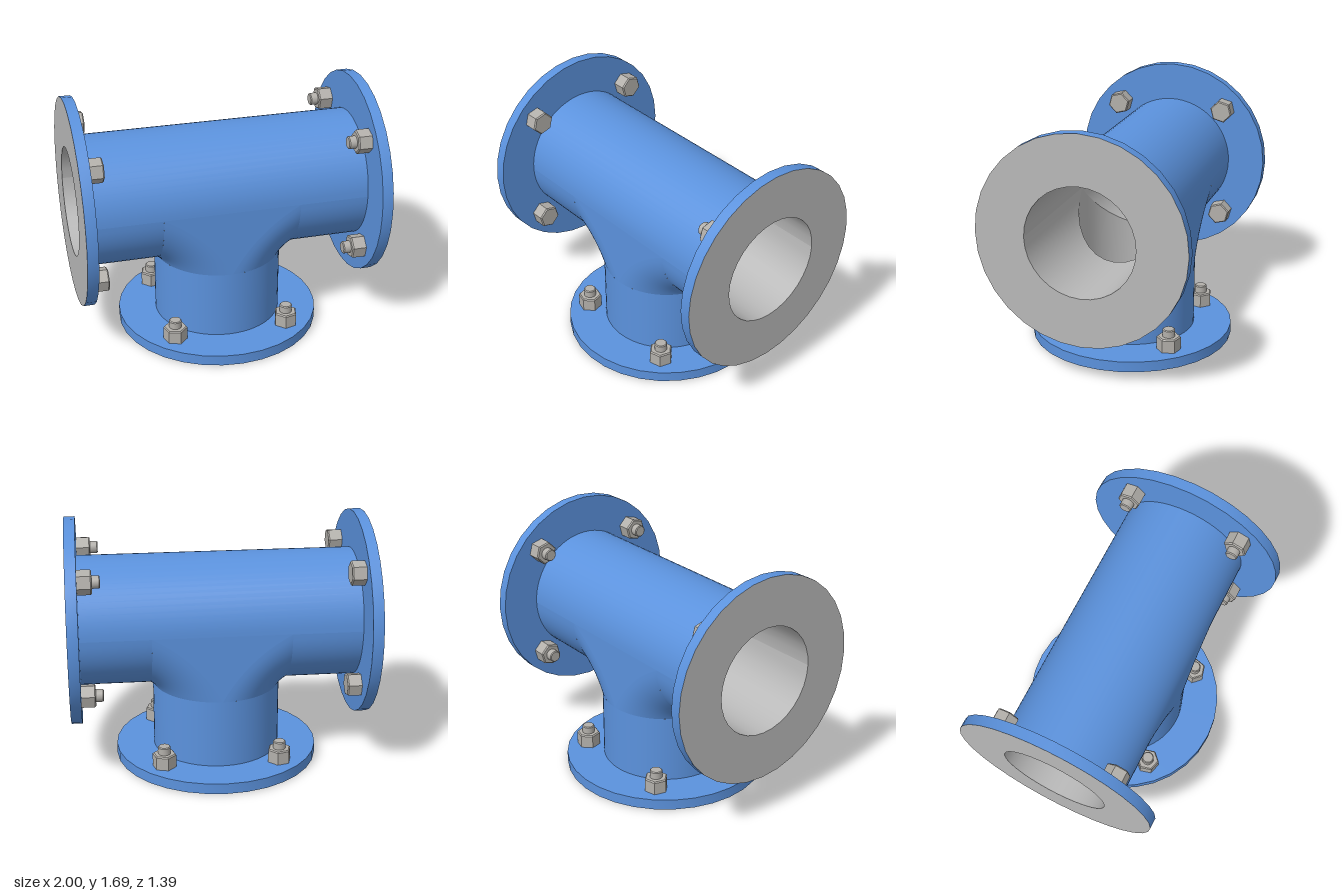
import * as THREE from 'three';
import { toCreasedNormals } from 'three/addons/utils/BufferGeometryUtils.js';

const R = 0.435;       // outer pipe radius
const BORE = 0.365;    // inner pipe radius
const FLANGE = 0.695;  // flange radius
const THICK = 0.073;   // flange thickness
const AXIS = 1.0;      // height of the main run
const K = 0.46;        // reach of the blend along the run
const { PI, sin, cos, abs } = Math;

// Smooth grid surface from a rule; it faces along du x dv
function sheet(rule, nu, nv) {
  const pos = [], index = [];
  for (let j = 0; j <= nv; j++)
    for (let i = 0; i <= nu; i++) pos.push(...rule(i / nu, j / nv));
  for (let j = 0; j < nv; j++)
    for (let i = 0; i < nu; i++) {
      const a = j * (nu + 1) + i, b = a + 1, c = a + nu + 1, d = c + 1;
      index.push(a, b, d, a, d, c);
    }
  const g = new THREE.BufferGeometry();
  g.setAttribute('position', new THREE.Float32BufferAttribute(pos, 3));
  g.setIndex(index);
  g.computeVertexNormals();
  return g;
}

// Blend curve at a given half-width c of the branch slice
function blendCurve(c) {
  const low = 1 - K;
  return new THREE.QuadraticBezierCurve(
    new THREE.Vector2(c, low),
    new THREE.Vector2((3 * c + K) / 4, (low + 3 * (1 - c)) / 4).lerp(
      new THREE.Vector2((c + K) / 2, (low + 1 - c) / 2), 0.4),
    new THREE.Vector2(K, 1 - c));
}

export function createModel() {
  const model = new THREE.Group();
  model.name = 'flangedPipeTee';

  const blue = new THREE.MeshStandardMaterial({ color: 0x5b92dd, side: THREE.DoubleSide });
  blue.name = 'bluePaint';
  const steel = new THREE.MeshStandardMaterial({ color: 0xb9b9b9, side: THREE.DoubleSide });
  steel.name = 'bareSteel';
  const zinc = new THREE.MeshStandardMaterial({ color: 0xb3b0ab });
  zinc.name = 'boltZinc';

  function add(parent, name, geometry, material) {
    const mesh = new THREE.Mesh(geometry, material);
    mesh.name = name;
    parent.add(mesh);
    return mesh;
  }

  // Outer wall of the run: full upper half, lower half only beside the branch
  const wall = (x0, x1, t0) => sheet((u, v) => {
    const t = t0 + v * PI;
    return [x0 + (x1 - x0) * u, AXIS + R * sin(t), R * cos(t)];
  }, 1, 32);
  add(model, 'runUpperWall', wall(-0.95, 0.95, 0), blue);

  // Bore of the run, trimmed where the branch bore meets it
  const boreTop = sheet((u, v) =>
    [2 * v - 1, AXIS + BORE * sin(u * PI), BORE * cos(u * PI)], 16, 1);
  add(model, 'runBoreTop', boreTop, steel);
  const boreLow = sheet((u, v) => {
    const t = PI + u * PI, c = BORE * abs(sin(t));
    return [c + (1 - c) * v, AXIS + BORE * sin(t), BORE * cos(t)];
  }, 16, 1);

  // Blend between branch and run
  const blend = sheet((u, v) => {
    const a = (v - 0.5) * PI;
    const p = blendCurve(R * Math.max(0, cos(a))).getPoint(u);
    return [p.x, p.y, R * sin(a)];
  }, 10, 40);

  // Flat web left between the two blends
  const edge = blendCurve(0).getPoints(10);
  const web = new THREE.ShapeGeometry(new THREE.Shape([
    ...edge,
    ...edge.slice(1).reverse().map(p => new THREE.Vector2(-p.x, p.y)),
  ]));
  web.translate(0, 0, R);

  for (const [side, turn] of [['left', 0], ['right', PI]]) {
    add(model, side + 'RunLowerWall', wall(K, 0.95, PI), blue).rotation.y = turn;
    add(model, side + 'RunBore', boreLow, steel).rotation.y = turn;
    add(model, side + 'Blend', blend, blue).rotation.y = turn;
    add(model, turn ? 'backWeb' : 'frontWeb', web, blue).rotation.y = turn;
  }

  // Branch wall and bore
  const branchTop = 1 - K;
  const branch = new THREE.CylinderGeometry(R, R, branchTop - 0.05, 64, 1, true);
  branch.translate(0, (branchTop + 0.05) / 2, 0);
  add(model, 'branchWall', branch, blue);
  add(model, 'branchBore', sheet((u, v) => {
    const a = u * 2 * PI;
    return [BORE * cos(a), v * (AXIS - BORE * abs(cos(a))), BORE * sin(a)];
  }, 32, 1), steel);

  // Shared flange and bolt shapes; the sealing face lies at y = 0
  const lathe = (pts, n, crease) => toCreasedNormals(
    new THREE.LatheGeometry(pts.map(p => new THREE.Vector2(...p)), n), crease);
  const flangeGeo = lathe([[FLANGE, 0], [FLANGE, THICK], [R - 0.02, THICK]], 32, 0.5);
  const faceGeo = new THREE.RingGeometry(BORE, FLANGE, 32);
  faceGeo.rotateX(PI / 2);
  const hexGeo = lathe([[0.081, THICK - 0.005], [0.081, 0.16], [0.073, 0.168], [0, 0.168]], 6, 0.2);
  const studGeo = lathe([[0.042, 0.15], [0.042, 0.214], [0.036, 0.22], [0, 0.22]], 20, 0.5);

  function flange(name, hasStud) {
    const g = new THREE.Group();
    g.name = name;
    add(g, 'flangeDisc', flangeGeo, blue);
    add(g, 'sealingFace', faceGeo, steel);
    for (const x of [-0.39, 0.39])
      for (const z of [-0.39, 0.39]) {
        const bolt = new THREE.Group();
        bolt.name = 'bolt';
        bolt.position.set(x, 0, z);
        bolt.rotation.y = Math.atan2(x, z);
        add(bolt, hasStud ? 'nut' : 'boltHead', hexGeo, zinc);
        if (hasStud) add(bolt, 'stud', studGeo, zinc);
        g.add(bolt);
      }
    model.add(g);
    return g;
  }

  // Three flanges: studs show on the bottom and left, heads on the right
  flange('bottomFlange', true);
  const left = flange('leftFlange', true);
  left.position.set(1, AXIS, 0);
  left.rotation.z = PI / 2;
  const right = flange('rightFlange', false);
  right.position.set(-1, AXIS, 0);
  right.rotation.z = -PI / 2;

  return model;
}
